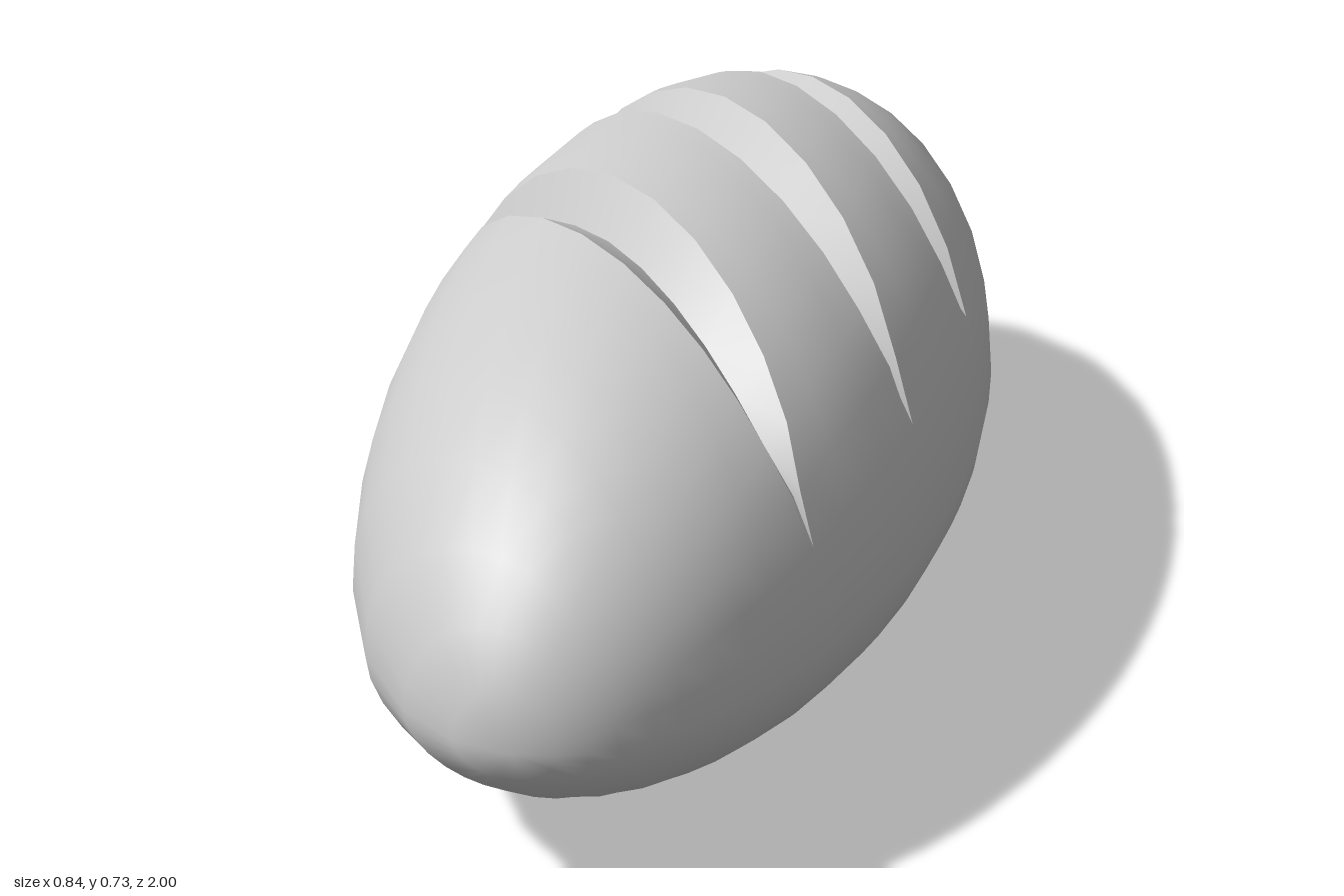
import * as THREE from 'three';
import { toCreasedNormals } from 'three/addons/utils/BufferGeometryUtils.js';

const HALF_WIDTH = 0.42, MID_Y = 0.27, TOP = 0.46, SIDES = 32;

// Diagonal scores: slice position, x range and half width along z
const scores = [
  { s: -0.5, from: -0.21, to: 0.38, width: 0.08 },
  { s: -0.07, from: -0.34, to: 0.34, width: 0.09 },
  { s: 0.365, from: -0.37, to: 0.27, width: 0.085 },
];
const DEPTH = 0.06;

// Slices of the loaf slant with the scores and straighten towards the tips
const slant = (s) => (1.1 - 0.2 * s) * (1 - s ** 6);

function loafPoint(s, angle) {
  const m = slant(s) * HALF_WIDTH * Math.cos(angle);
  const r = (-s * m + Math.sqrt(Math.max(0, 1 + m * m - s * s))) / (1 + m * m);
  const h = Math.sin(angle) > 0 ? TOP : MID_Y;
  return new THREE.Vector3(HALF_WIDTH * r * Math.cos(angle), MID_Y + h * r * Math.sin(angle), s + m * r);
}

// Lens-shaped strength of a score: 1 at its middle, 0 past its ends and below
function scoreStrength(score, angle) {
  if (Math.sin(angle) <= 0) return 0;
  const x = loafPoint(score.s, angle).x;
  const q = (2 * x - score.from - score.to) / (score.to - score.from);
  return Math.max(0, 1 - q * q);
}

// A score adds three rows: two lips and a sunken groove between them
function scoredPoint(score, side, angle) {
  const f = scoreStrength(score, angle);
  const p = loafPoint(score.s + side * Math.max(0.012, score.width * Math.sqrt(f)), angle);
  if (side === 0) {
    const normal = new THREE.Vector3(p.x / HALF_WIDTH ** 2, (p.y - MID_Y) / TOP ** 2, p.z).normalize();
    p.addScaledVector(normal, -DEPTH * Math.sqrt(f));
  }
  return p;
}

function loafGeometry() {
  const plain = (...list) => list.map((s) => (angle) => loafPoint(s, angle));
  const cut = (score) => [-1, 0, 1].map((side) => (angle) => scoredPoint(score, side, angle));
  const rows = [
    ...plain(-0.985, -0.95, -0.88, -0.8, -0.71, -0.63), ...cut(scores[0]),
    ...plain(-0.37, -0.29, -0.2), ...cut(scores[1]),
    ...plain(0.07, 0.15, 0.23), ...cut(scores[2]),
    ...plain(0.5, 0.58, 0.67, 0.76, 0.84, 0.91, 0.96, 0.988),
  ];
  const points = [], index = [];
  for (const row of rows) {
    for (let j = 0; j < SIDES; j++) points.push(row((j / SIDES) * Math.PI * 2));
  }
  const back = points.push(new THREE.Vector3(0, MID_Y, -1)) - 1;
  const front = points.push(new THREE.Vector3(0, MID_Y, 1)) - 1;
  const last = (rows.length - 1) * SIDES;
  for (let j = 0; j < SIDES; j++) {
    const k = (j + 1) % SIDES;
    for (let i = 0; i < last; i += SIDES) {
      index.push(i + j, i + k, i + SIDES + k, i + j, i + SIDES + k, i + SIDES + j);
    }
    index.push(back, k, j, front, last + j, last + k);
  }
  const geometry = new THREE.BufferGeometry().setFromPoints(points);
  geometry.setIndex(index);
  return toCreasedNormals(geometry, THREE.MathUtils.degToRad(32));
}

export function createModel() {
  const group = new THREE.Group();
  group.name = 'breadLoaf';
  const loaf = new THREE.Mesh(loafGeometry(), new THREE.MeshStandardMaterial({ color: 0xcccccc }));
  loaf.name = 'scoredLoaf';
  group.add(loaf);
  return group;
}
